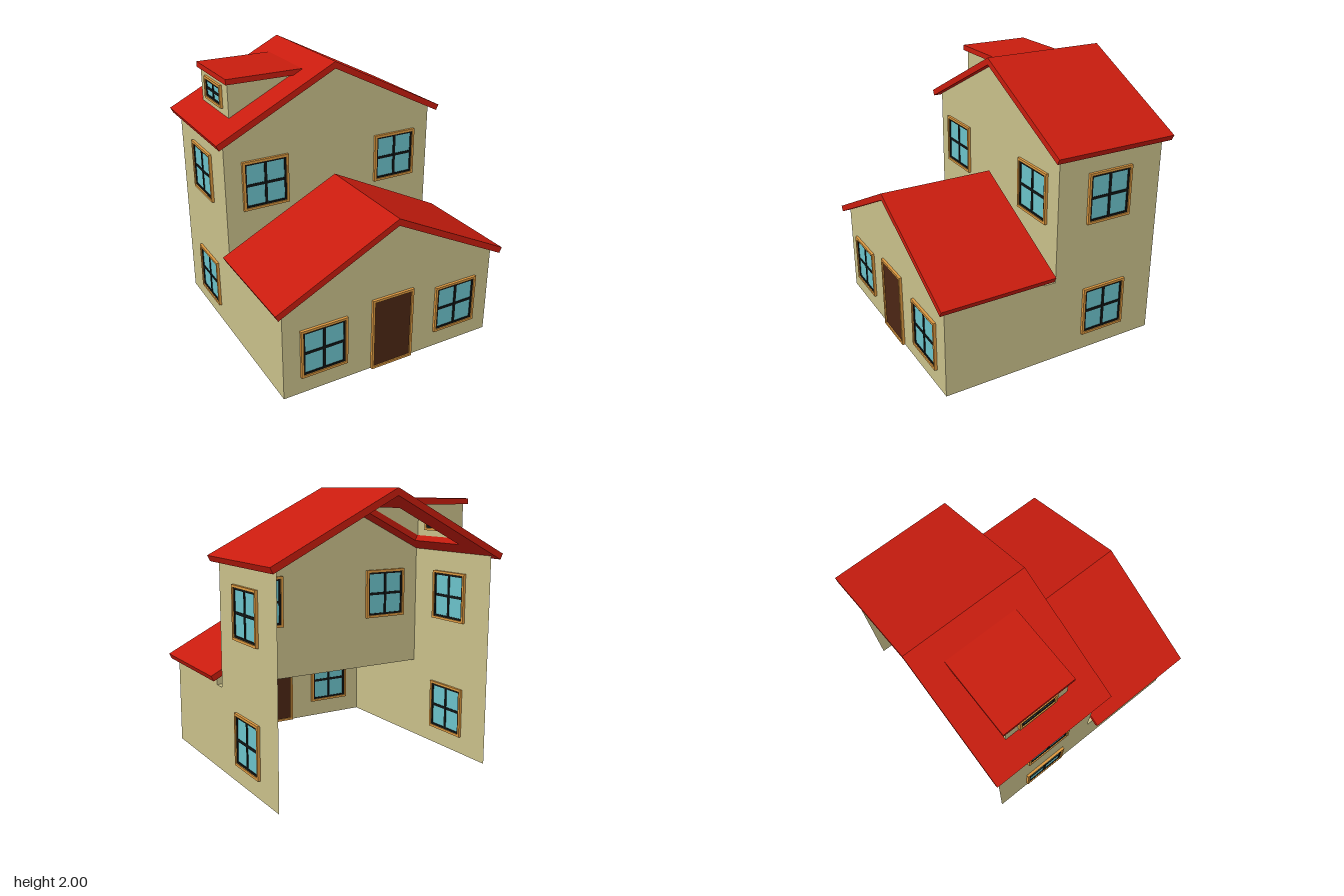
import * as THREE from 'three';

const mat = (color, side = THREE.FrontSide) => new THREE.MeshStandardMaterial({ color, side });

const HALF = 0.845;                 // half width and half depth of the walls
const PITCH = Math.atan(0.5);       // roof slope
const SLOPE = 0.91 / Math.cos(PITCH);
const THICK = 0.045;

export function createModel() {
  const house = new THREE.Group();
  house.name = 'house';
  const wallMat = mat(0xc9c08a, THREE.DoubleSide);
  const roofMat = mat(0xc81c0e);
  const trimMat = mat(0xdb9840);
  const barMat = mat(0x101414);
  const glassMat = mat(0x6bc2ca);
  const doorMat = mat(0x4b2614);

  const add = (parent, name, geometry, material) => {
    const mesh = new THREE.Mesh(geometry, material);
    mesh.name = name;
    parent.add(mesh);
    return mesh;
  };
  const polygon = (pts) => new THREE.Shape(pts.map(([x, y]) => new THREE.Vector2(x, y)));
  const rect = (x0, y0, x1, y1) => [[x0, y0], [x1, y0], [x1, y1], [x0, y1]];

  // Thin wall in the xy plane at depth z
  const wallXY = (name, pts, z) => {
    add(house, name, new THREE.ShapeGeometry(polygon(pts)), wallMat).position.z = z;
  };
  // Thin wall in the zy plane at x; points are [z, y]
  const wallZY = (name, pts, x) => {
    const geo = new THREE.ShapeGeometry(polygon(pts.map(([z, y]) => [-z, y])));
    geo.rotateY(Math.PI / 2);
    add(house, name, geo, wallMat).position.x = x;
  };

  // Side walls, stepped between the low front wing and the tall rear wing
  const lowEave = 0.6825, highEave = 1.5275, ledge = 0.62;
  for (const s of [-1, 1]) {
    wallZY(s > 0 ? 'leftWall' : 'rightWall', [
      [HALF, 0], [HALF, lowEave], [0.09, lowEave], [0.09, ledge],
      [0, ledge], [0, highEave], [-HALF, highEave], [-HALF, 0],
    ], s * HALF);
  }

  // Gable walls; the rear of the house is open
  const gable = (name, bottom, eave, z) =>
    wallXY(name, [[-HALF, bottom], [HALF, bottom], [HALF, eave], [0, eave + HALF / 2], [-HALF, eave]], z);
  gable('frontGable', 0, lowEave, HALF);
  gable('lowerRearGable', ledge, lowEave, 0.09);
  gable('upperGable', ledge, highEave, 0);

  // Ledge joining the two wings
  const ledgeGeo = new THREE.PlaneGeometry(2 * HALF, 0.09).rotateX(-Math.PI / 2);
  add(house, 'ledge', ledgeGeo, wallMat).position.set(0, ledge, 0.045);

  // Roof slab on one side of the ridge, with an optional opening given as x, z limits
  const roofSlope = (name, s, ridge, z0, z1, hole) => {
    const u0 = s > 0 ? 0 : -SLOPE;
    const shape = polygon(rect(u0, z0, u0 + SLOPE, z1));
    if (hole) {
      const [x0, a, x1, b] = hole;
      const k = 1 / Math.cos(PITCH);
      shape.holes.push(polygon(rect(x0 * k, a, x1 * k, b)));
    }
    const geo = new THREE.ExtrudeGeometry(shape, { depth: THICK, bevelEnabled: false });
    geo.rotateX(Math.PI / 2).rotateZ(-s * PITCH);
    add(house, name, geo, roofMat).position.y = ridge;
  };
  roofSlope('lowerRoofLeft', 1, 1.155, 0.04, 0.895);
  roofSlope('lowerRoofRight', -1, 1.155, 0.04, 0.895);
  roofSlope('upperRoofLeft', 1, 2, -0.89, 0.05);
  roofSlope('upperRoofRight', -1, 2, -0.89, 0.05, [-0.715, -0.675, -0.19, -0.175]);

  // Dormer on the right slope
  for (const z of [-0.675, -0.175]) {
    wallXY('dormerSide', [[-0.72, 1.64], [-0.23, 1.885], [-0.72, 1.885]], z);
  }
  wallZY('dormerFront', rect(-0.675, 1.64, -0.175, 1.885), -0.72);
  add(house, 'dormerRoof', new THREE.BoxGeometry(0.58, 0.04, 0.555), roofMat)
    .position.set(-0.45, 1.905, -0.425);

  // Rectangular ring centred on the wall plane
  const ring = (w, h, t, depth) => {
    const shape = polygon(rect(-w / 2, -h / 2, w / 2, h / 2));
    shape.holes.push(polygon(rect(t - w / 2, t - h / 2, w / 2 - t, h / 2 - t)));
    return new THREE.ExtrudeGeometry(shape, { depth, bevelEnabled: false }).translate(0, 0, -depth / 2);
  };

  const makeWindow = (w, h, x, y, z, turned) => {
    const win = new THREE.Group();
    win.name = 'window';
    const t = 0.018, iw = w - 2 * t, ih = h - 2 * t;
    add(win, 'windowFrame', ring(w, h, t, 0.04), trimMat);
    add(win, 'sash', ring(iw, ih, 0.014, 0.024), barMat);
    add(win, 'verticalBar', new THREE.BoxGeometry(0.02, ih, 0.022), barMat);
    add(win, 'horizontalBar', new THREE.BoxGeometry(iw, 0.02, 0.02), barMat);
    add(win, 'glass', new THREE.BoxGeometry(iw, ih, 0.012), glassMat);
    win.position.set(x, y, z);
    if (turned) win.rotation.y = Math.PI / 2;
    house.add(win);
  };

  // Windows: two storeys on the front and on each side, plus the dormer
  for (const s of [-1, 1]) {
    makeWindow(0.355, 0.37, s * 0.54, 0.315, HALF, false);
    makeWindow(0.355, 0.37, s * 0.54, 1.19, 0, false);
    for (const y of [0.315, 1.19]) makeWindow(0.355, 0.37, s * HALF, y, -0.412, true);
  }
  makeWindow(0.3, 0.165, -0.72, 1.768, -0.425, true);

  // Front door
  const door = new THREE.Group();
  door.name = 'door';
  add(door, 'doorFrame', ring(0.335, 0.56, 0.018, 0.04), trimMat);
  add(door, 'doorPanel', new THREE.BoxGeometry(0.3, 0.525, 0.02), doorMat);
  door.position.set(0, 0.28, HALF);
  house.add(door);

  return house;
}
